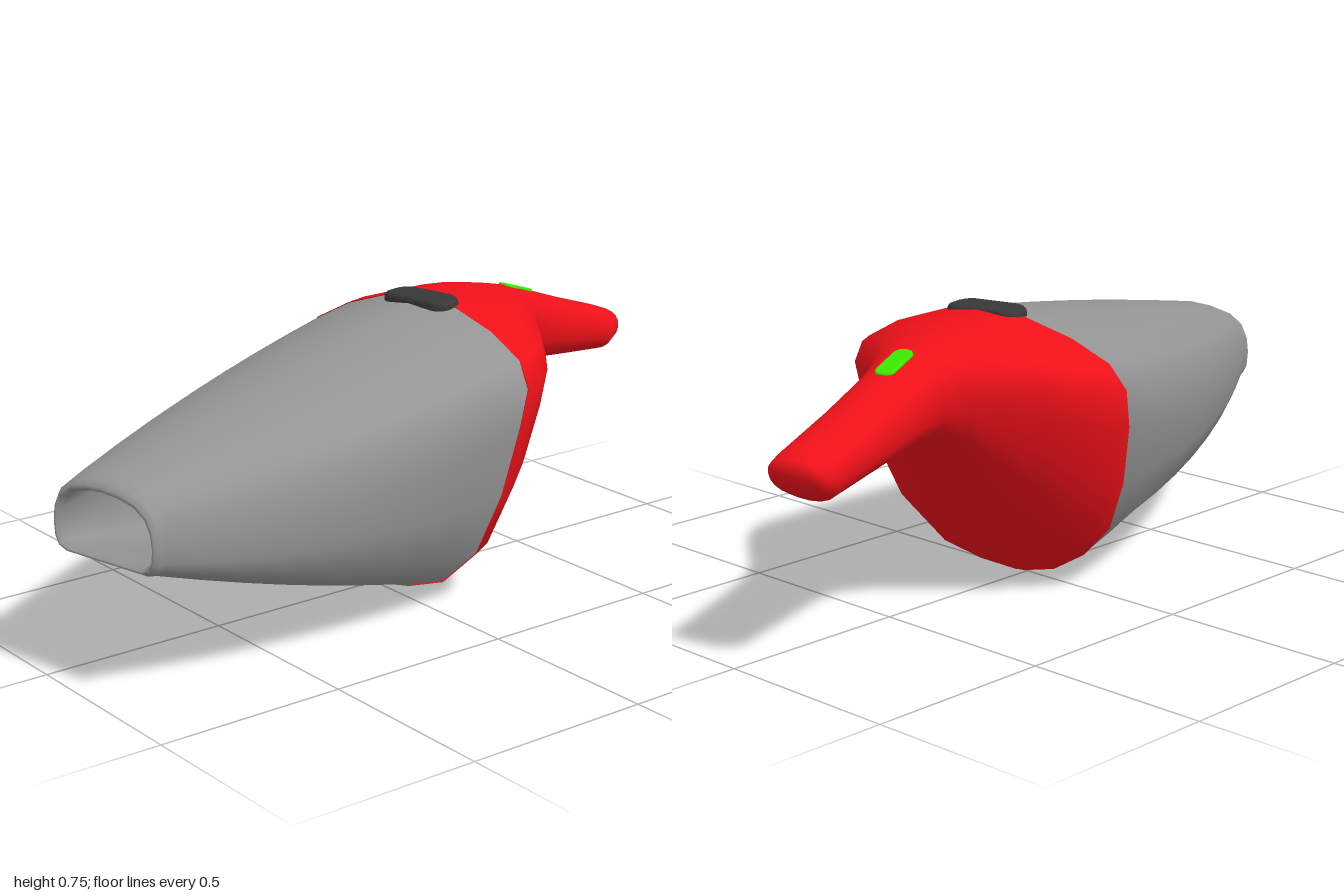
import * as THREE from 'three';

const N = 20; // points per cross-section

// Closed outline from two halves, each running top centre to bottom centre: [x in 0..1, y in 0..1]
const outline = (left, right = left) =>
  [...left, ...right.slice(1, -1).reverse().map(([x, y]) => [-x, y])];

const UPPER = [[0, 1], [0.3, 0.982], [0.63, 0.927], [0.895, 0.853], [1, 0.765], [0.987, 0.631]];
const BODY = outline(
  [...UPPER, [0.93, 0.4], [0.8, 0.19], [0.565, 0.066], [0.28, 0.019], [0, 0]],
  [...UPPER, [0.889, 0.416], [0.733, 0.228], [0.503, 0.107], [0.24, 0.027], [0, 0]]);
const MOUTH = outline([[0, 1], [0.35, 0.975], [0.65, 0.91], [0.87, 0.77], [0.97, 0.58], [1, 0.36],
  [0.98, 0.17], [0.91, 0.055], [0.76, 0], [0.4, 0], [0, 0]]);
const soften = (v) => Math.sign(v) * Math.abs(v) ** 0.88;
const OVAL = outline(Array.from({ length: 11 }, (_, i) =>
  [soften(Math.sin(i * Math.PI / 10)), 0.5 + 0.5 * soften(Math.cos(i * Math.PI / 10))]));

const lerp = THREE.MathUtils.lerp;

// A ring leans from [zTop, yTop] to [zBottom, yBottom]; the outline blends from shape a to b
function ring(zt, yt, zb, yb, hw, a, b, t) {
  return a.map(([x, y], i) => {
    const f = lerp(y, b[i][1], t);
    return [hw * lerp(x, b[i][0], t), lerp(yb, yt, f), lerp(zb, zt, f)];
  });
}

// Smooth skin over rings running towards +z, with optional end caps
function loft(rings, capStart, capEnd) {
  const pos = rings.flat(2), idx = [];
  for (let r = 0; r < rings.length - 1; r++) {
    for (let i = 0; i < N; i++) {
      const a = r * N + i, b = r * N + (i + 1) % N, c = a + N, d = b + N;
      idx.push(a, c, b, b, c, d);
    }
  }
  const cap = (r, flip) => {
    const centre = pos.length / 3;
    for (let j = 0; j < 3; j++) pos.push(rings[r].reduce((s, p) => s + p[j], 0) / N);
    for (let i = 0; i < N; i++) {
      const a = r * N + i, b = r * N + (i + 1) % N;
      idx.push(centre, flip ? b : a, flip ? a : b);
    }
  };
  if (capStart) cap(0, false);
  if (capEnd) cap(rings.length - 1, true);
  const g = new THREE.BufferGeometry();
  g.setAttribute('position', new THREE.Float32BufferAttribute(pos, 3));
  g.setIndex(idx);
  g.computeVertexNormals();
  return g;
}

// Rounded pad lying flat, w along x and l along z, centred on its height
function pad(w, l, h, r, bevel) {
  const x = w / 2 - bevel, y = l / 2 - bevel, s = new THREE.Shape();
  s.absarc(x - r, y - r, r, 0, Math.PI / 2);
  s.absarc(r - x, y - r, r, Math.PI / 2, Math.PI);
  s.absarc(r - x, r - y, r, Math.PI, Math.PI * 1.5);
  s.absarc(x - r, r - y, r, Math.PI * 1.5, Math.PI * 2);
  const g = new THREE.ExtrudeGeometry(s, {
    depth: h - 2 * bevel, bevelEnabled: true, bevelSize: bevel, bevelThickness: bevel,
    bevelSegments: 3, curveSegments: 6,
  });
  g.translate(0, 0, bevel - h / 2);
  g.rotateX(-Math.PI / 2);
  return g;
}

export function createModel() {
  const model = new THREE.Group();
  const vacuum = new THREE.Group();
  vacuum.name = 'handheldVacuum';
  vacuum.rotation.y = 0.221;
  vacuum.position.x = 0.008;
  model.add(vacuum);

  const add = (name, geometry, color) => {
    const m = new THREE.Mesh(geometry, new THREE.MeshStandardMaterial({ color }));
    m.name = name;
    vacuum.add(m);
    return m;
  };

  // Dust container: tapering outer skin, rolled mouth, hollow inside
  const rings = [];
  for (let k = 0; k <= 8; k++) {
    const t = k / 8, bulge = 4 * t * (1 - t);
    rings.push(ring(lerp(-0.19, 0.94, t), lerp(0.743, 0.553, t) + 0.01 * bulge,
      lerp(0, 0.95, t), lerp(0.003, 0.335, t), lerp(0.375, 0.172, t) + 0.038 * bulge, BODY, MOUTH, t));
  }
  const mouth = (z, yt, yb, hw) => rings.push(ring(z, yt, z, yb, hw, MOUTH, MOUTH, 0));
  mouth(0.975, 0.54, 0.34, 0.169);
  mouth(0.988, 0.528, 0.347, 0.163);
  mouth(0.988, 0.518, 0.353, 0.156);
  mouth(0.97, 0.51, 0.359, 0.151);
  for (const t of [0.9, 0.6, 0.3, 0.02]) {
    rings.push(ring(lerp(-0.17, 0.95, t), lerp(0.7, 0.51, t), lerp(0.03, 0.95, t),
      lerp(0.05, 0.362, t), lerp(0.335, 0.15, t) + 0.12 * t * (1 - t), BODY, MOUTH, t));
  }
  add('dustContainer', loft(rings, false, true), 0x949494);

  // Motor housing flowing into the handle: zTop, yTop, zBottom, yBottom, half width, roundness
  const housing = [
    [-1.018, 0.53, -1.008, 0.485, 0.055, 1],
    [-1.008, 0.549, -0.987, 0.457, 0.08, 1],
    [-0.97, 0.563, -0.95, 0.438, 0.09, 1],
    [-0.8, 0.618, -0.76, 0.462, 0.092, 1],
    [-0.65, 0.67, -0.6, 0.484, 0.097, 1],
    [-0.58, 0.693, -0.53, 0.486, 0.112, 0.9],
    [-0.53, 0.708, -0.46, 0.44, 0.145, 0.7],
    [-0.47, 0.723, -0.36, 0.33, 0.203, 0.45],
    [-0.4, 0.736, -0.25, 0.21, 0.278, 0.25],
    [-0.33, 0.743, -0.14, 0.09, 0.338, 0.1],
    [-0.25, 0.747, -0.05, 0.018, 0.373, 0],
    [-0.19, 0.745, 0, 0, 0.377, 0],
  ];
  const shell = loft(housing.map(([zt, yt, zb, yb, hw, t]) =>
    ring(zt, yt, zb, yb, hw, BODY, OVAL, t)), true, false);
  add('housingAndHandle', shell, 0xf01119).material.side = THREE.DoubleSide;

  // Release latch bridging the joint, bent to follow the top
  const latch = pad(0.21, 0.1, 0.034, 0.03, 0.012);
  const p = latch.attributes.position;
  for (let i = 0; i < p.count; i++) p.setY(i, p.getY(i) - 0.8 * p.getX(i) ** 2);
  add('releaseLatch', latch, 0x383838).position.set(0.002, 0.739, -0.182);

  // Power button on the handle, nearly flush
  const button = add('powerButton', pad(0.055, 0.12, 0.03, 0.018, 0.006), 0x3ce600);
  button.position.set(0.003, 0.677, -0.595);
  button.rotation.x = -0.32;

  return model;
}
